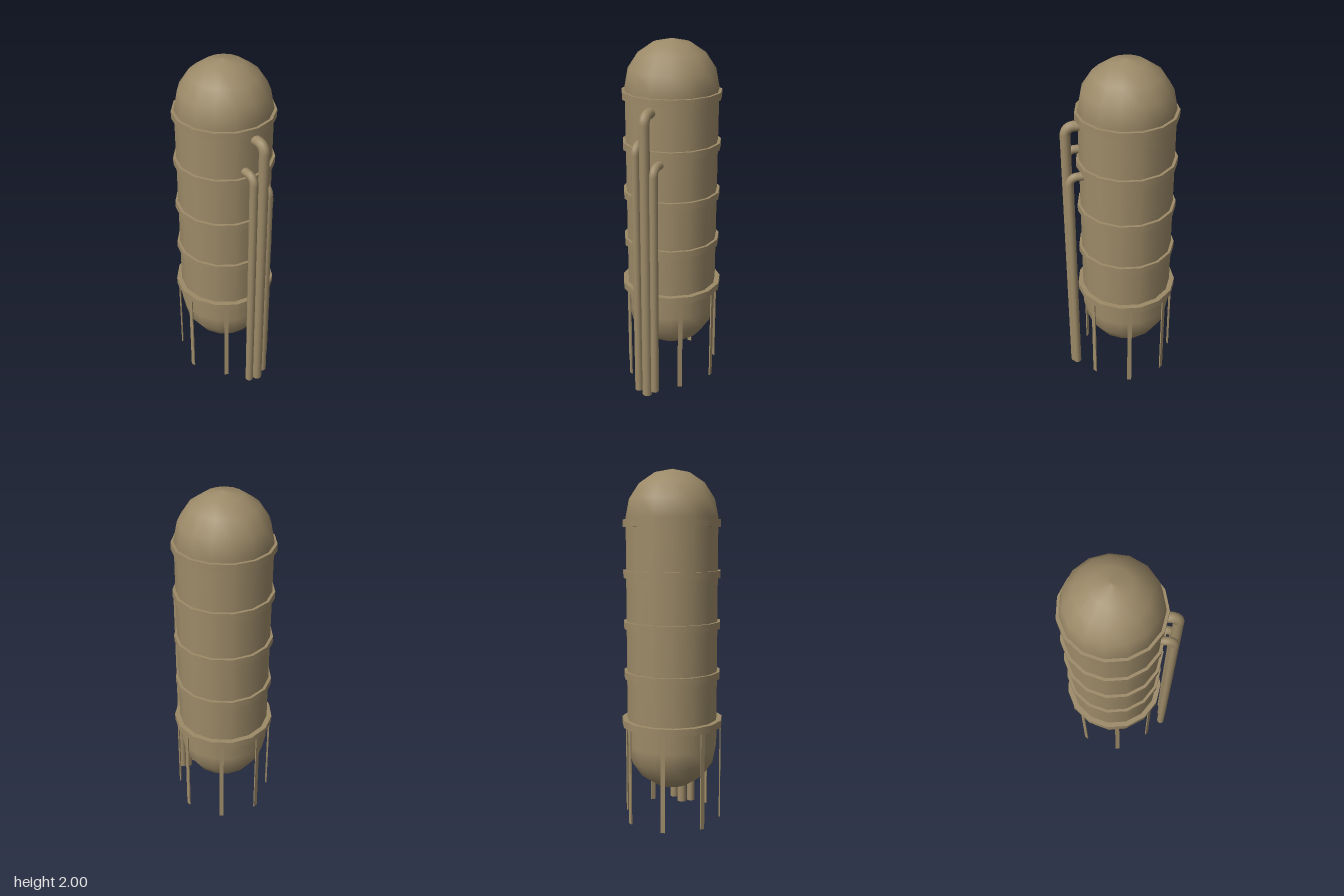
import * as THREE from 'three';

const SIDES = 15;
const RADIUS = 0.257;
const TANK_X = -0.037;

export function createModel() {
  const model = new THREE.Group();
  model.name = 'storageTank';
  const paint = new THREE.MeshStandardMaterial({ color: 0x9c8a68 });

  function add(parent, name, geometry, x = 0, y = 0, z = 0) {
    const mesh = new THREE.Mesh(geometry, paint);
    mesh.name = name;
    mesh.position.set(x, y, z);
    parent.add(mesh);
    return mesh;
  }

  const tank = new THREE.Group();
  tank.name = 'tank';
  tank.position.x = TANK_X;
  model.add(tank);

  // Shell: straight wall between two hemispherical ends
  const profile = [];
  for (let i = 0; i <= 4; i++) {
    const a = (i / 4) * Math.PI / 2;
    profile.push(new THREE.Vector2(RADIUS * Math.sin(a), 0.472 - RADIUS * Math.cos(a)));
  }
  for (let i = 4; i >= 0; i--) {
    const a = (i / 4) * Math.PI / 2;
    profile.push(new THREE.Vector2(RADIUS * Math.sin(a), 1.743 + RADIUS * Math.cos(a)));
  }
  profile[0].x = profile[profile.length - 1].x = 0;
  add(tank, 'shell', new THREE.LatheGeometry(profile, SIDES, Math.PI / 2));

  // Reinforcing bands, the lowest one wider to carry the legs
  function band(name, radius, y) {
    add(tank, name,
      new THREE.CylinderGeometry(radius, radius, 0.04, SIDES, 1, false, Math.PI / 2), 0, y, 0);
  }
  for (const y of [0.875, 1.155, 1.435, 1.71]) band('band', 0.273, y);
  band('supportBand', 0.286, 0.6);

  // Flat legs under every second facet, leaving the pipe side clear
  for (let i = 0; i < 7; i++) {
    const angle = THREE.MathUtils.degToRad(36 + i * 48);
    const leg = add(tank, 'leg', new THREE.BoxGeometry(0.007, 0.555, 0.025),
      0.274 * Math.cos(angle), 0.3125, 0.274 * Math.sin(angle));
    leg.rotation.y = -angle;
  }

  // Pipes: riser, quarter bend and short stub into the shell
  function pipe(name, x, z, r, bottom, top) {
    const group = new THREE.Group();
    group.name = name;
    group.position.z = z;
    model.add(group);
    const bend = 0.045;
    const height = top - bend - bottom;
    add(group, 'riser', new THREE.CylinderGeometry(r, r, height, 12), x, bottom + height / 2, 0);
    add(group, 'bend', new THREE.TorusGeometry(bend, r, 12, 6, Math.PI / 2), x - bend, top - bend, 0);
    const stubEnd = 0.2;
    const length = x - bend - stubEnd;
    const stub = add(group, 'stub', new THREE.CylinderGeometry(r, r, length, 12),
      stubEnd + length / 2, top, 0);
    stub.rotation.z = Math.PI / 2;
  }
  pipe('mainPipe', 0.287, 0, 0.028, 0, 1.655);
  pipe('frontPipe', 0.28, 0.057, 0.023, 0.012, 1.488);
  pipe('rearPipe', 0.28, -0.047, 0.023, 0.03, 1.38);

  return model;
}
